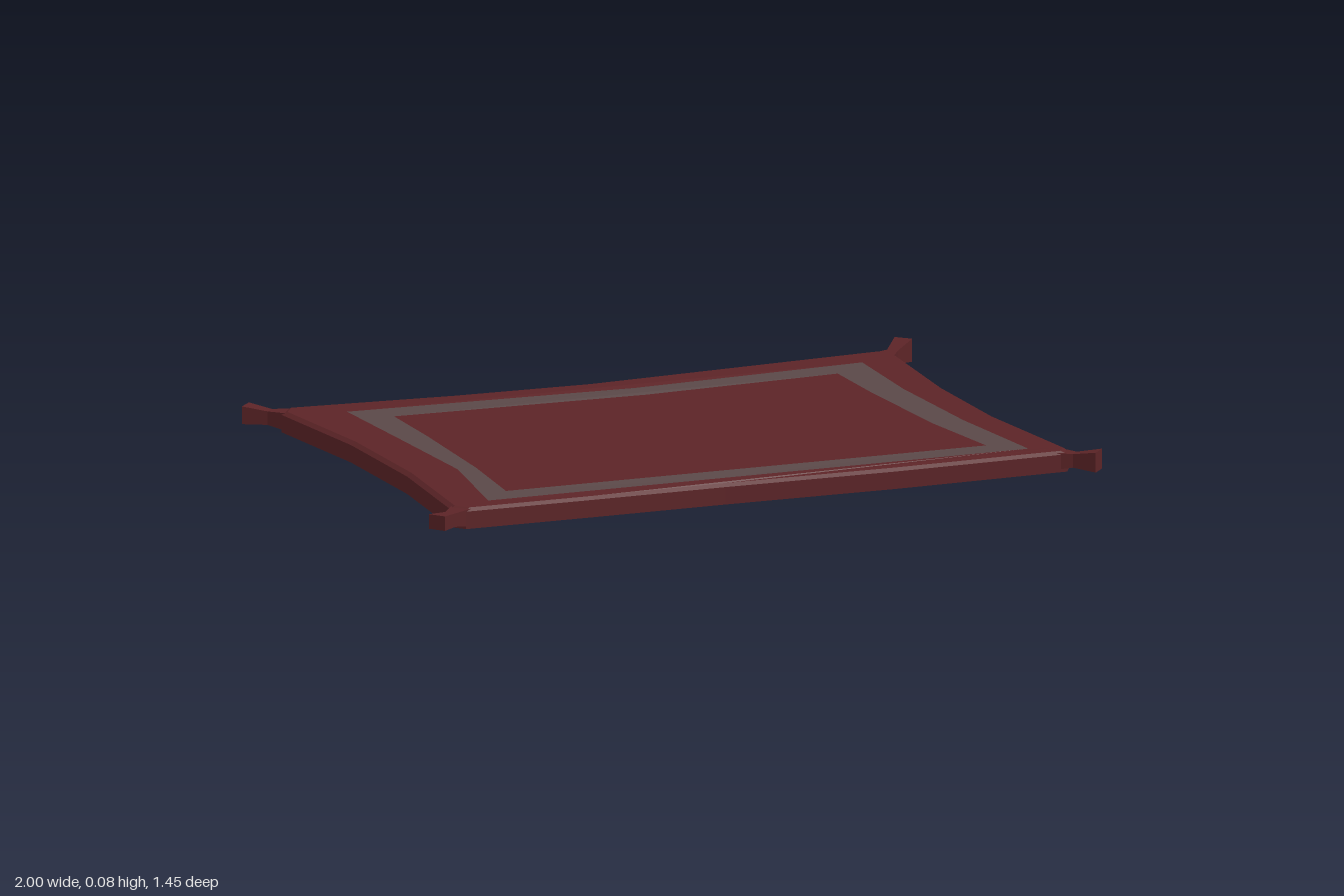
import * as THREE from 'three';

const material = (color) => new THREE.MeshStandardMaterial({ color, flatShading: true, side: THREE.DoubleSide });

// Plan outlines as [x, z], running round the cloth
const EDGE = [
  [-0.88, -0.645], [-0.4, -0.625], [0.1, -0.61], [0.5, -0.62], [0.89, -0.637],
  [0.91, -0.6], [0.88, -0.2], [0.88, 0.2], [0.92, 0.62],
  [0.9, 0.655], [0.4, 0.638], [-0.1, 0.622], [-0.5, 0.63], [-0.88, 0.645],
  [-0.91, 0.61], [-0.87, 0.2], [-0.87, -0.2], [-0.91, -0.6],
];
const BAND_OUT = [
  [-0.74, -0.54], [0.1, -0.515], [0.785, -0.53], [0.77, -0.2], [0.78, 0.2],
  [0.815, 0.583], [-0.1, 0.555], [-0.785, 0.575], [-0.72, 0.2], [-0.73, -0.2],
];
const BAND_IN = [
  [-0.64, -0.445], [0.1, -0.43], [0.675, -0.44], [0.675, -0.2], [0.69, 0.2],
  [0.725, 0.498], [-0.1, 0.475], [-0.695, 0.485], [-0.665, 0.2], [-0.645, -0.2],
];

// The cloth sags slightly towards the middle of its length
const sag = (x) => -0.008 * Math.max(0, 1 - (x / 0.9) ** 2);

// Flat region between two outlines, laid at the top height
function sheet(outer, hole, y) {
  const points = (loop) => loop.map(([x, z]) => new THREE.Vector2(x, -z));
  const shape = new THREE.Shape(points(outer));
  if (hole) shape.holes.push(new THREE.Path(points(hole)));
  const geo = new THREE.ShapeGeometry(shape);
  geo.rotateX(-Math.PI / 2);
  const p = geo.attributes.position;
  for (let i = 0; i < p.count; i++) p.setY(i, y + sag(p.getX(i)));
  geo.computeVertexNormals();
  return geo;
}

// Strip of quads joining closed loops, listed from top to bottom
function loft(loops) {
  const n = loops[0].length;
  const index = [];
  for (let r = 0; r < loops.length - 1; r++) {
    for (let i = 0; i < n; i++) {
      const a = r * n + i, b = r * n + (i + 1) % n;
      index.push(a, b, a + n, b, b + n, a + n);
    }
  }
  const geo = new THREE.BufferGeometry();
  geo.setAttribute('position', new THREE.Float32BufferAttribute(loops.flat(2), 3));
  geo.setIndex(index);
  geo.computeVertexNormals();
  return geo;
}

// Corner tassel: wide root, pinched neck, flared end
function tassel(root, tip, low, high) {
  const dx = tip[0] - root[0], dz = tip[1] - root[1];
  const length = Math.hypot(dx, dz);
  const sections = [ // width, bottom, top at root, neck and end
    [0.07, 0.012, 0.064],
    [0.032, 0.022, 0.06],
    [0.052, low, high],
  ];
  const geo = new THREE.BoxGeometry(2, 1, 1, 2, 1, 1);
  const p = geo.attributes.position;
  for (let i = 0; i < p.count; i++) {
    const k = Math.round(p.getX(i)) + 1;
    const [w, y0, y1] = sections[k];
    p.setXYZ(i, [0, 0.5, 1][k] * length, p.getY(i) > 0 ? y1 : y0, p.getZ(i) * w);
  }
  geo.rotateY(-Math.atan2(dz, dx));
  geo.translate(root[0], 0, root[1]);
  geo.computeVertexNormals();
  return geo;
}

export function createModel() {
  const group = new THREE.Group();
  const red = material(0x5c2427);
  const grey = material(0x5a4848);
  const add = (name, geo, mat) => {
    const mesh = new THREE.Mesh(geo, mat);
    mesh.name = name;
    group.add(mesh);
  };

  // Top cloth in three flush regions
  const top = 0.067;
  const rim = EDGE.map(([x, z]) => [x * 0.984, z * 0.984]);
  add('outerCloth', sheet(rim, BAND_OUT, top), red);
  add('borderBand', sheet(BAND_OUT, BAND_IN, top), grey);
  add('centreCloth', sheet(BAND_IN, null, top), red);

  // Folded edge: a small bevel, then a hanging skirt open underneath
  const ring = (loop, y) => loop.map(([x, z]) => [x, y + sag(x), z]);
  add('skirt', loft([ring(rim, top), ring(EDGE, 0.058), ring(EDGE, 0.009)].map((l) => l.reverse())), red);

  // Tassels
  add('backLeftTassel', tassel([0.87, -0.595], [0.981, -0.707], 0.012, 0.077), red);
  add('backRightTassel', tassel([-0.87, -0.605], [-0.973, -0.705], 0.02, 0.07), red);
  add('frontLeftTassel', tassel([0.87, 0.61], [0.974, 0.704], 0.016, 0.072), red);
  add('frontRightTassel', tassel([-0.87, 0.605], [-0.985, 0.689], 0.026, 0.067), red);

  return group;
}
